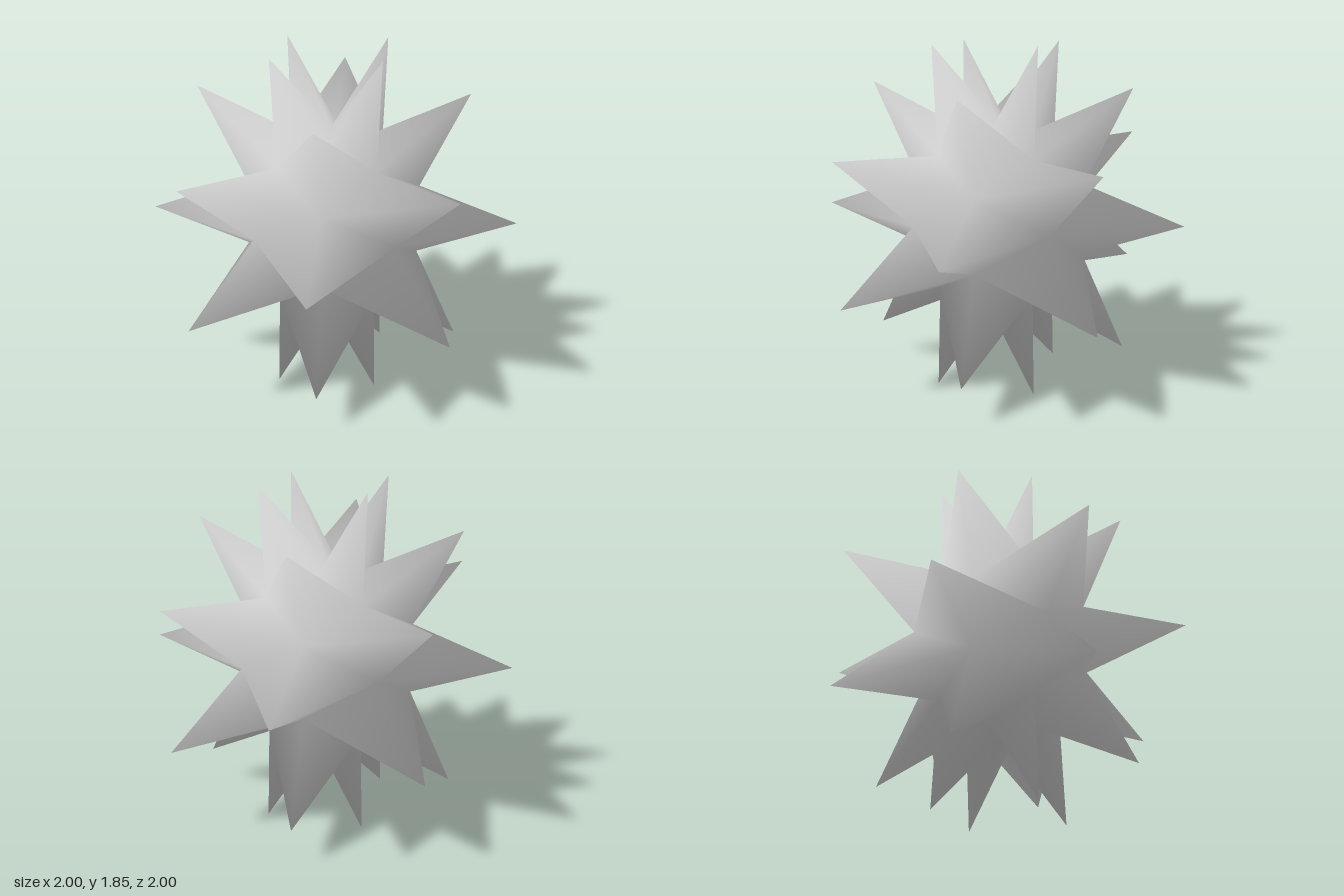
import * as THREE from 'three';

// Spiky ball: an 8 x 8 globe grid whose alternate points are pulled out into spikes.
const N = 8, SPIKE = 1, VALLEY = 0.51;

export function createModel() {
  const group = new THREE.Group();
  const positions = [], index = [];

  // Rings of points from top to bottom, between the two poles
  positions.push(0, VALLEY, 0);
  for (let j = 1; j < N; j++) {
    const polar = (j / N) * Math.PI;
    for (let i = 0; i < N; i++) {
      const around = (i / N) * Math.PI * 2;
      const r = (i + j) % 2 === 0 ? SPIKE : VALLEY;
      positions.push(
        r * Math.sin(polar) * Math.sin(around),
        r * Math.cos(polar),
        r * Math.sin(polar) * Math.cos(around));
    }
  }
  positions.push(0, -VALLEY, 0);
  const bottom = positions.length / 3 - 1;
  const at = (j, i) => 1 + (j - 1) * N + (i % N);

  for (let i = 0; i < N; i++) {
    // Pole caps
    index.push(0, at(1, i), at(1, i + 1));
    index.push(bottom, at(N - 1, i + 1), at(N - 1, i));
    // Each square is folded along its valley diagonal, so every spike is a pyramid
    for (let j = 1; j < N - 1; j++) {
      const a = at(j, i), b = at(j + 1, i), c = at(j + 1, i + 1), d = at(j, i + 1);
      if ((i + j) % 2 === 0) index.push(a, b, d, b, c, d);
      else index.push(a, b, c, a, c, d);
    }
  }

  const geometry = new THREE.BufferGeometry();
  geometry.setAttribute('position', new THREE.Float32BufferAttribute(positions, 3));
  geometry.setIndex(index);
  geometry.computeVertexNormals();

  const ball = new THREE.Mesh(geometry, new THREE.MeshStandardMaterial({ color: 0xcccccc }));
  ball.name = 'spikyBall';
  // Rest the lowest ring of spikes on the ground
  ball.position.y = SPIKE * Math.cos(Math.PI / N);
  group.add(ball);
  return group;
}
